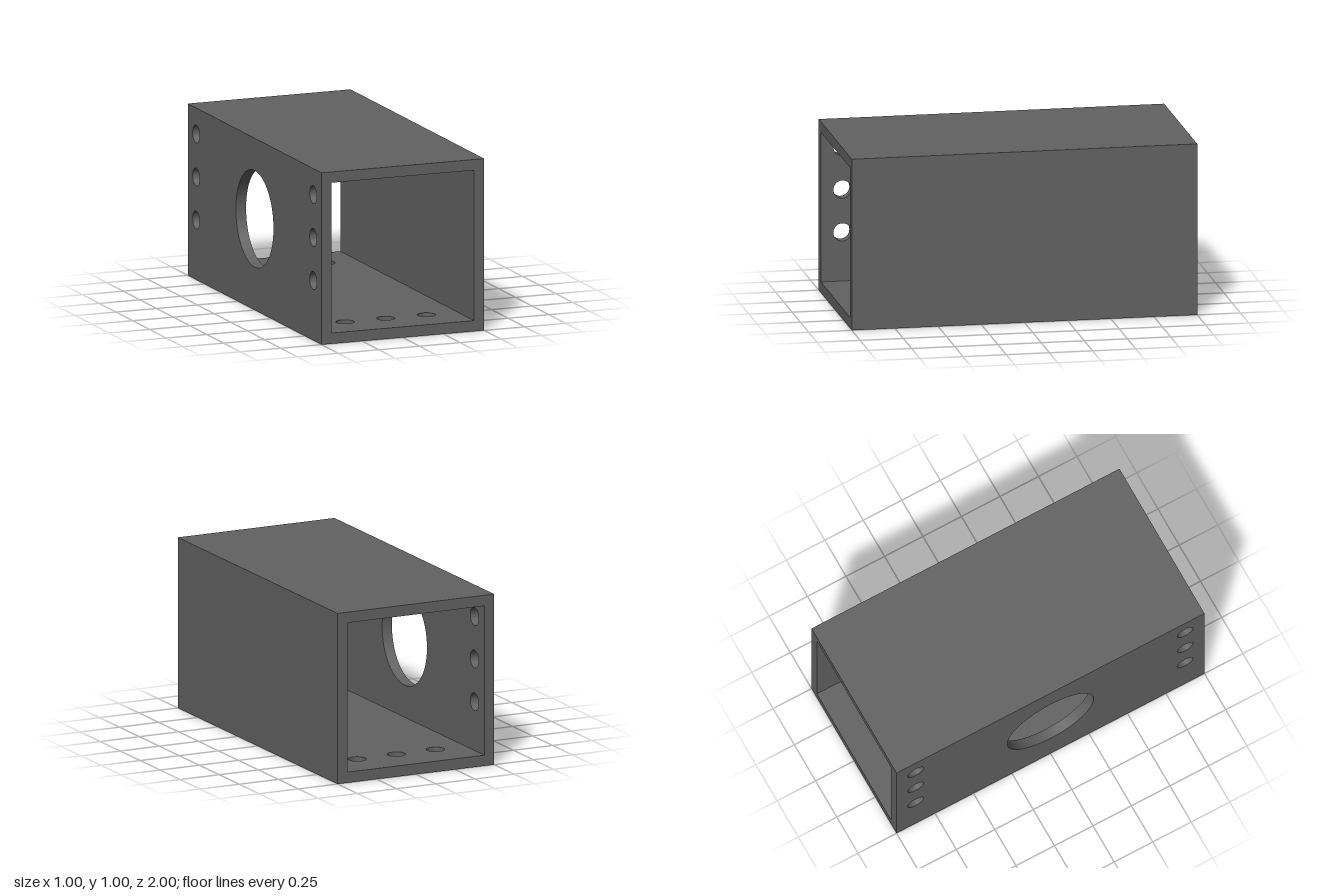
import * as THREE from 'three';
import { toCreasedNormals } from 'three/addons/utils/BufferGeometryUtils.js';

const SIZE = 1, LENGTH = 2, WALL = 0.0625;

// One mitred wall of the square tube; angle 0 is the floor, turned about the tube's axis.
// Holes are [across, along, radius], measured from the middle of the wall.
function wall(name, angle, holes, material) {
  const w = SIZE / 2, l = LENGTH / 2;
  const shape = new THREE.Shape([
    new THREE.Vector2(-w, -l), new THREE.Vector2(w, -l),
    new THREE.Vector2(w, l), new THREE.Vector2(-w, l),
  ]);
  for (const [x, y, r] of holes) {
    shape.holes.push(new THREE.Path().absarc(x, y, r, 0, Math.PI * 2, true));
  }
  const plate = new THREE.ExtrudeGeometry(shape, { depth: WALL, bevelEnabled: false, curveSegments: 40 });

  // Pull the long inner edges in so neighbouring walls meet on a mitre
  const p = plate.attributes.position;
  for (let i = 0; i < p.count; i++) {
    const x = p.getX(i);
    if (Math.abs(x) > w - 1e-4) p.setX(i, x - Math.sign(x) * p.getZ(i));
  }
  plate.rotateX(-Math.PI / 2).translate(0, -w, 0).rotateZ(angle).translate(0, w, 0);

  const mesh = new THREE.Mesh(toCreasedNormals(plate, 0.5), material);
  mesh.name = name;
  return mesh;
}

export function createModel() {
  const group = new THREE.Group();
  group.name = 'squareTube';
  const material = new THREE.MeshStandardMaterial({ color: 0x626262 }); // dark grey

  // Rows of three bolt holes near both ends
  const floorHoles = [];
  const sideHoles = [[-0.031, 0, 0.281]]; // large round opening
  for (const end of [-1, 1]) {
    for (const i of [-1, 0, 1]) {
      floorHoles.push([i * 0.25 - 0.003, end * 0.75, 0.052]);
      sideHoles.push([i * 0.25 - 0.098, end * 0.875, 0.052]);
    }
  }

  group.add(
    wall('floor', 0, floorHoles, material),
    wall('rightWall', -Math.PI / 2, sideHoles, material),
    wall('roof', Math.PI, [], material),
    wall('leftWall', Math.PI / 2, [], material),
  );
  return group;
}
